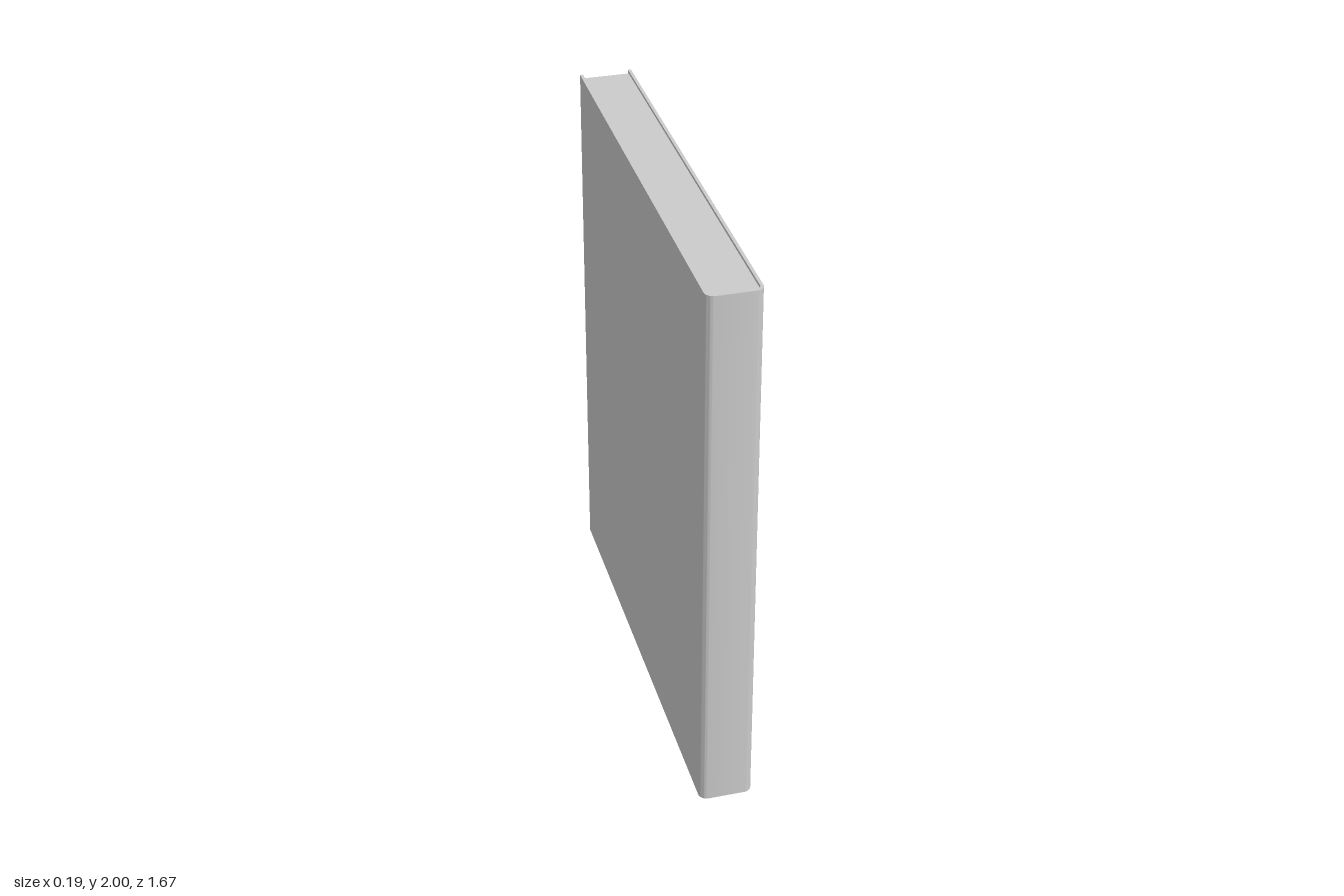
import * as THREE from 'three';
import { toCreasedNormals } from 'three/addons/utils/BufferGeometryUtils.js';

const HEIGHT = 2, HALF_W = 0.094, HALF_D = 0.834, BOARD = 0.011, RADIUS = 0.03, RECESS = 0.01;

export function createModel() {
  const book = new THREE.Group();
  book.name = 'book';
  const material = new THREE.MeshStandardMaterial({ color: 0xcccccc });

  // Cover: U-shaped outline in plan (shape y is -z), with a rounded spine
  const w = HALF_W, d = HALF_D, r = RADIUS;
  const wi = w - BOARD, di = d - BOARD, ri = r - BOARD;
  const outline = new THREE.Shape();
  outline.moveTo(-w, d);
  outline.lineTo(-w, -d + r);
  outline.absarc(-w + r, -d + r, r, Math.PI, Math.PI * 1.5, false);
  outline.lineTo(w - r, -d);
  outline.absarc(w - r, -d + r, r, -Math.PI / 2, 0, false);
  outline.lineTo(w, d);
  outline.lineTo(wi, d);
  outline.lineTo(wi, -di + ri);
  outline.absarc(wi - ri, -di + ri, ri, 0, -Math.PI / 2, true);
  outline.lineTo(-wi + ri, -di);
  outline.absarc(-wi + ri, -di + ri, ri, -Math.PI / 2, -Math.PI, true);
  outline.lineTo(-wi, d);
  outline.closePath();

  const coverGeometry = new THREE.ExtrudeGeometry(outline, {
    depth: HEIGHT, bevelEnabled: false, curveSegments: 8,
  });
  coverGeometry.rotateX(-Math.PI / 2);
  const cover = new THREE.Mesh(toCreasedNormals(coverGeometry, 0.6), material);
  cover.name = 'cover';
  book.add(cover);

  // Page block: set in slightly at the top, bottom and open edge
  const front = di - 0.002, back = -d + RECESS;
  const pages = new THREE.Mesh(
    new THREE.BoxGeometry(wi * 2, HEIGHT - RECESS * 2, front - back), material);
  pages.name = 'pages';
  pages.position.set(0, HEIGHT / 2, (front + back) / 2);
  book.add(pages);

  return book;
}
